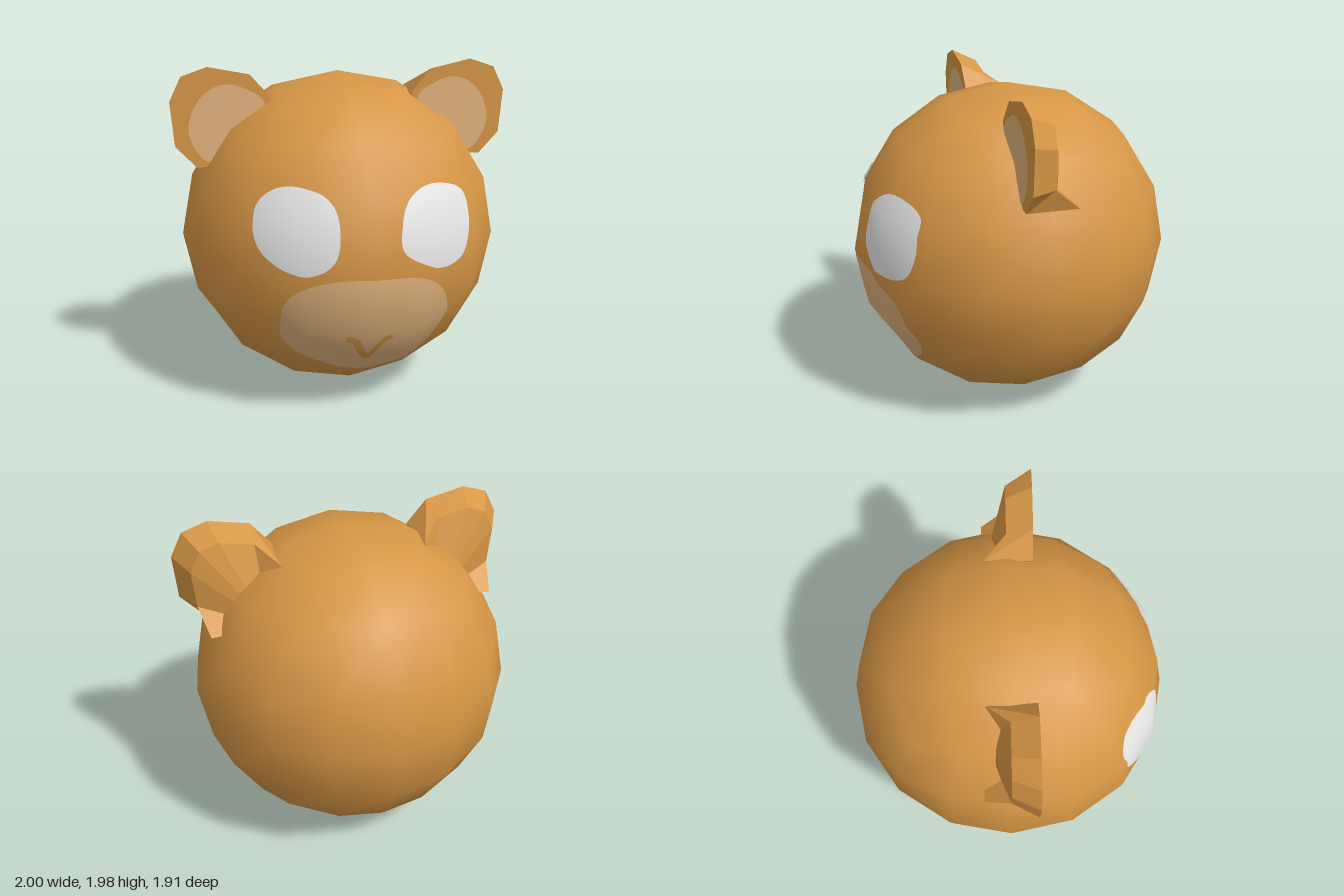
import * as THREE from 'three';

const R = 0.955, CY = 0.96;

// Round head: a box with 4 divisions per side, spread evenly onto a sphere
function headGeometry() {
  const g = new THREE.BoxGeometry(2, 2, 2, 4, 4, 4);
  const p = g.attributes.position, n = g.attributes.normal, v = new THREE.Vector3();
  const even = (t) => Math.tan(t * Math.PI / 4);
  for (let i = 0; i < p.count; i++) {
    v.set(even(p.getX(i)), even(p.getY(i)), even(p.getZ(i))).normalize();
    n.setXYZ(i, v.x, v.y, v.z);
    p.setXYZ(i, v.x * R, v.y * R + CY, v.z * R);
  }
  return g;
}

// Smooth curve through a few front-facing points
function curvePoints(points, closed, count) {
  const c = new THREE.CatmullRomCurve3(points.map(([x, y]) => new THREE.Vector3(x, y, 0)), closed);
  return c.getSpacedPoints(count);
}

// Grid of rows laid onto the front of the head, lifted slightly
function drape(rows, head, lift) {
  const ray = new THREE.Raycaster(), down = new THREE.Vector3(0, 0, -1);
  const pos = [], nor = [], idx = [], w = rows[0].length;
  for (const row of rows) for (const q of row) {
    ray.set(new THREE.Vector3(q.x + 1e-5, q.y + 1e-5, 2), down);
    const h = ray.intersectObject(head)[0].point;
    const n = new THREE.Vector3(h.x, h.y - CY, h.z).normalize();
    h.addScaledVector(n, lift);
    pos.push(h.x, h.y, h.z);
    nor.push(n.x, n.y, n.z);
  }
  for (let r = 0; r < rows.length - 1; r++) for (let i = 0; i < w - 1; i++) {
    const a = r * w + i, b = a + 1, c = a + w, d = c + 1;
    idx.push(a, c, b, b, c, d);
  }
  const g = new THREE.BufferGeometry();
  g.setAttribute('position', new THREE.Float32BufferAttribute(pos, 3));
  g.setAttribute('normal', new THREE.Float32BufferAttribute(nor, 3));
  g.setIndex(idx);
  return g;
}

// Filled patch inside a clockwise outline
function patch(outline, head, lift) {
  const edge = curvePoints(outline, true, 72).reverse();
  const mid = edge.reduce((s, q) => s.add(q), new THREE.Vector3()).divideScalar(edge.length);
  const rows = [];
  for (let k = 0; k <= 14; k++) rows.push(edge.map((q) => mid.clone().lerp(q, k / 14)));
  return drape(rows, head, lift);
}

// Narrow stroke along a line running left to right
function stroke(points, width, head, lift) {
  const line = curvePoints(points, false, 40);
  const rows = [-1, 0, 1].map((s) => line.map((q, i) => {
    const t = line[Math.min(i + 1, 40)].clone().sub(line[Math.max(i - 1, 0)]).normalize();
    return new THREE.Vector3(q.x + t.y * s * width / 2, q.y - t.x * s * width / 2, 0);
  }));
  return drape(rows, head, lift);
}

// Ear for the +x side; side = -1 mirrors it
function earGeometry(side) {
  const front = [[0.42, 1.79, 0.15], [0.54, 1.93, 0.15], [0.78, 1.98, 0.15], [0.93, 1.93, 0.15],
    [1, 1.79, 0.15], [0.98, 1.53, 0.15], [0.86, 1.4, 0.15]];
  const back = [[0.43, 1.78, -0.13], [0.55, 1.87, 0], [0.75, 1.91, 0], [0.86, 1.87, 0],
    [0.92, 1.75, 0], [0.9, 1.53, 0], [0.86, 1.4, -0.15]];
  const frontRoot = [0.52, 1.42, 0.15], backRoot = [0.52, 1.42, -0.15];
  const pos = [];
  const tri = (a, b, c) => {
    for (const q of side > 0 ? [a, b, c] : [a, c, b]) pos.push(q[0] * side, q[1], q[2]);
  };
  for (let i = 0; i < front.length - 1; i++) {
    const f = front[i], f2 = front[i + 1], b = back[i], b2 = back[i + 1];
    tri(frontRoot, f2, f);
    tri(backRoot, b, b2);
    tri(f, f2, b);
    tri(f2, b2, b);
  }
  const n = front.length - 1;
  tri(front[n], frontRoot, back[n]);
  tri(frontRoot, backRoot, back[n]);
  tri(frontRoot, front[0], back[0]);
  tri(frontRoot, back[0], backRoot);
  const g = new THREE.BufferGeometry();
  g.setAttribute('position', new THREE.Float32BufferAttribute(pos, 3));
  g.computeVertexNormals();
  return g;
}

function innerEarGeometry(side) {
  const outline = [[0.9, 1.61], [0.87, 1.74], [0.79, 1.84], [0.68, 1.88], [0.57, 1.85], [0.46, 1.77],
    [0.5, 1.6], [0.65, 1.45], [0.79, 1.43], [0.86, 1.5]];
  const pts = curvePoints(outline, true, 40).map((q) => new THREE.Vector2(q.x * side, q.y));
  return new THREE.ShapeGeometry(new THREE.Shape(pts)).translate(0, 0, 0.156);
}

export function createModel() {
  const material = (name, color) => Object.assign(new THREE.MeshStandardMaterial({ color }), { name });
  const fur = material('golden brown fur', 0xd69645);
  const tan = material('light tan', 0xe0b37d);
  const white = material('eye white', 0xffffff);

  const group = new THREE.Group();
  const add = (name, geometry, mat) => {
    const m = new THREE.Mesh(geometry, mat);
    m.name = name;
    group.add(m);
    return m;
  };

  const head = add('head', headGeometry(), fur);

  // Ears with pale inner plates
  for (const [side, label] of [[1, 'left'], [-1, 'right']]) {
    add(label + 'Ear', earGeometry(side), fur);
    add(label + 'InnerEar', innerEarGeometry(side), tan);
  }

  // Eyes, slightly uneven
  add('rightEye', patch([[-0.61, 1.18], [-0.58, 1.31], [-0.48, 1.39], [-0.36, 1.41], [-0.24, 1.37],
    [-0.185, 1.29], [-0.185, 1.08], [-0.24, 1], [-0.36, 0.96], [-0.49, 0.99], [-0.58, 1.07]], head, 0.007), white);
  add('leftEye', patch([[0.165, 1.2], [0.2, 1.32], [0.31, 1.39], [0.45, 1.38], [0.57, 1.32],
    [0.6, 1.22], [0.605, 1.1], [0.56, 0.98], [0.45, 0.94], [0.3, 0.98], [0.17, 1.07]], head, 0.007), white);

  // Muzzle and mouth
  add('muzzle', patch([[-0.48, 0.66], [-0.46, 0.78], [-0.37, 0.88], [-0.2, 0.93], [0.1, 0.93],
    [0.32, 0.89], [0.44, 0.78], [0.48, 0.62], [0.42, 0.45], [0.28, 0.34], [0.06, 0.295],
    [-0.12, 0.31], [-0.25, 0.37], [-0.4, 0.45], [-0.47, 0.55]], head, 0.007), tan);
  add('mouth', stroke([[-0.13, 0.56], [-0.08, 0.545], [-0.04, 0.47], [0.005, 0.415],
    [0.05, 0.47], [0.09, 0.535], [0.135, 0.555]], 0.042, head, 0.012), fur);

  return group;
}
